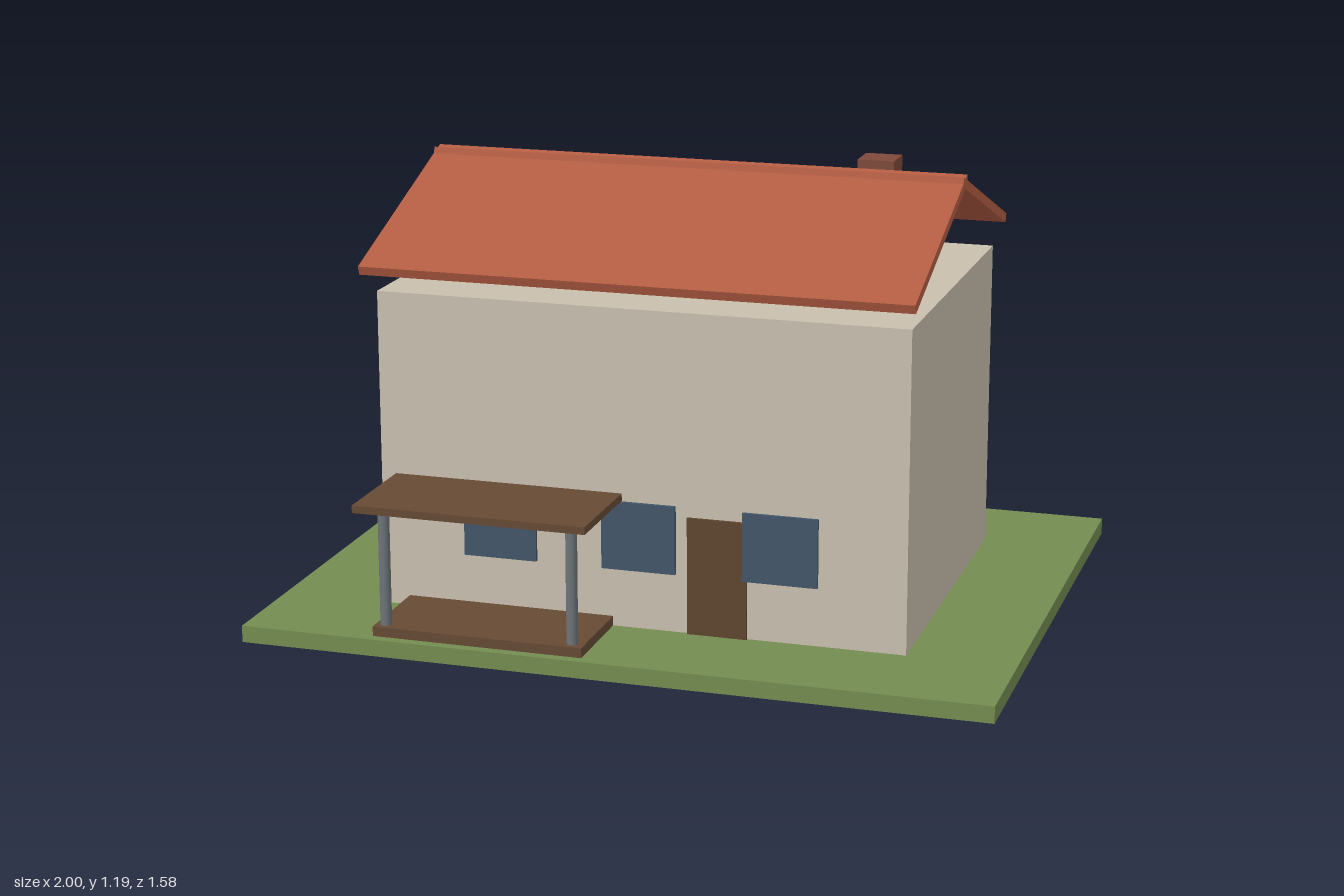
import * as THREE from 'three';

const paint = (name, color) => {
  const m = new THREE.MeshStandardMaterial({ color });
  m.name = name;
  return m;
};

export function createModel() {
  const house = new THREE.Group();
  house.name = 'house';
  const grass = paint('grass green', 0x738c50);
  const plaster = paint('cream plaster', 0xc8bfae);
  const tile = paint('terracotta', 0xb25c42);
  const brick = paint('brick', 0x7f4a3b);
  const wood = paint('porch wood', 0x664a34);
  const doorWood = paint('door wood', 0x5f4630);
  const glass = paint('blue glass', 0x425668);
  const metal = paint('grey metal', 0x6c7378);

  // Box given by its extents along each axis
  const box = (name, material, [x0, x1], [y0, y1], [z0, z1], parent = house) => {
    const mesh = new THREE.Mesh(new THREE.BoxGeometry(x1 - x0, y1 - y0, z1 - z0), material);
    mesh.position.set((x0 + x1) / 2, (y0 + y1) / 2, (z0 + z1) / 2);
    mesh.name = name;
    parent.add(mesh);
    return mesh;
  };

  const floor = 0.045, wallZ = 0.492, midZ = -0.0065;
  box('lawn', grass, [-1, 1], [0, floor], [-0.79, 0.777]);
  box('walls', plaster, [-0.713, 0.713], [floor, 0.9], [-0.505, wallZ]);
  box('chimney', brick, [0.405, 0.505], [0.9, 1.187], [-0.272, -0.172]);

  // Two pitched slabs crossing slightly at the ridge
  const roof = new THREE.Group();
  roof.name = 'roof';
  roof.position.z = midZ;
  house.add(roof);
  for (const side of [1, -1]) {
    const slab = new THREE.Mesh(new THREE.BoxGeometry(1.47, 0.025, 0.626), tile);
    slab.name = side > 0 ? 'frontRoofSlab' : 'backRoofSlab';
    slab.position.set(0, 1.074, side * 0.27);
    slab.rotation.x = side * THREE.MathUtils.degToRad(20);
    roof.add(slab);
  }

  // Door and windows on the front wall
  box('door', doorWood, [0.132, 0.292], [floor, 0.36], [wallZ, 0.5]);
  for (const x of [-0.38, 0, 0.38])
    box('window', glass, [x - 0.1, x + 0.1], [0.203, 0.387], [wallZ, 0.5015]);

  // Porch: deck, two posts and a flat canopy
  const porch = new THREE.Group();
  porch.name = 'porch';
  house.add(porch);
  box('porchDeck', wood, [-0.642, -0.072], [floor, 0.071], [wallZ, 0.75], porch);
  box('porchCanopy', wood, [-0.673, -0.046], [0.388, 0.408], [wallZ, 0.79], porch);
  for (const x of [-0.615, -0.105]) {
    const post = new THREE.Mesh(new THREE.CylinderGeometry(0.015, 0.015, 0.317, 16), metal);
    post.name = 'porchPost';
    post.position.set(x, 0.2295, 0.722);
    porch.add(post);
  }
  return house;
}
